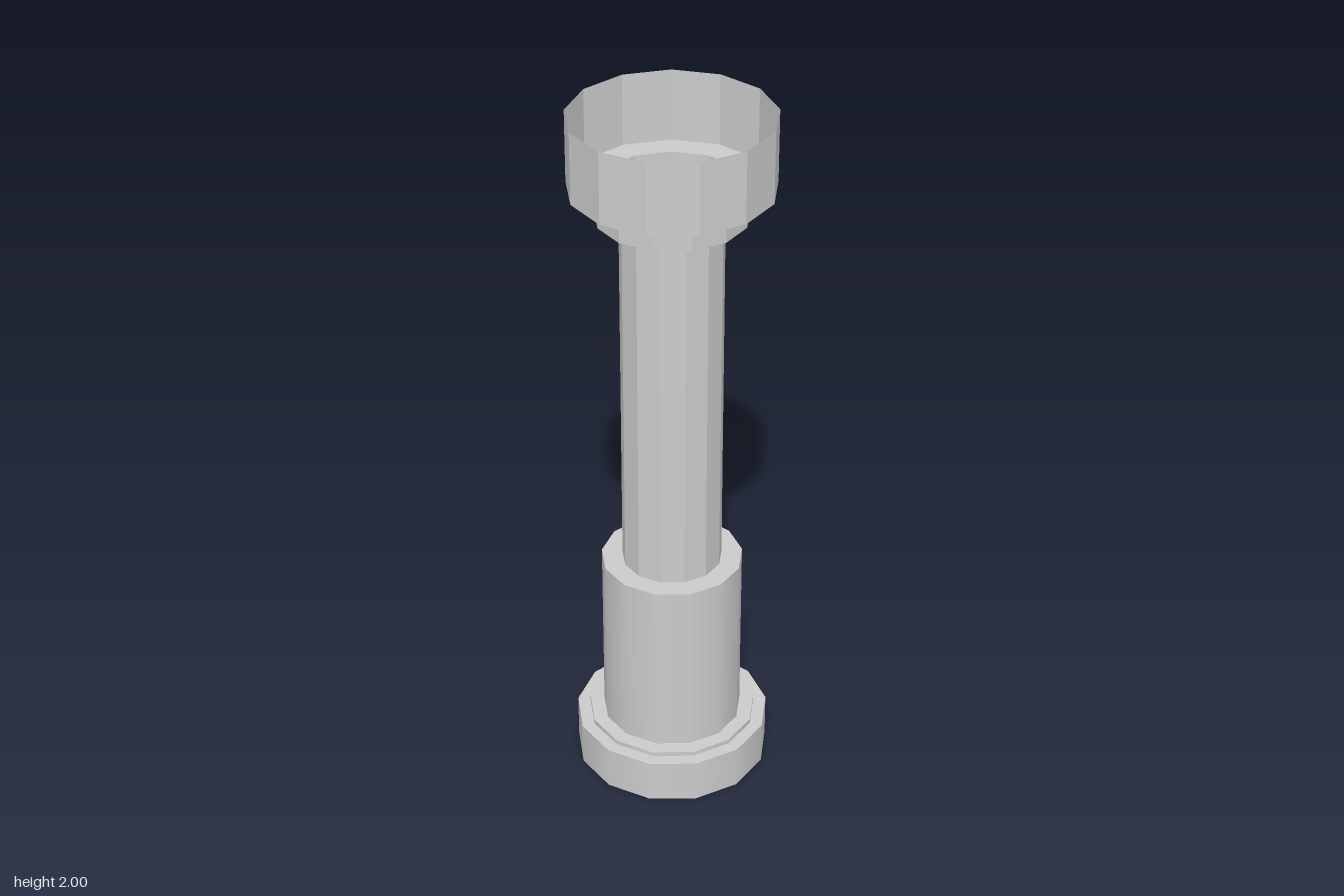
import * as THREE from 'three';

const SIDES = 13;

export function createModel() {
  const group = new THREE.Group();
  const facetedMat = new THREE.MeshStandardMaterial({ color: 0xcccccc, flatShading: true, side: THREE.DoubleSide });
  const smoothMat = new THREE.MeshStandardMaterial({ color: 0xcccccc, side: THREE.DoubleSide });

  // One open band from (r0, y0) to (r1, y1), with a corner pointing to -x
  function band(name, r0, y0, r1, y1, smooth = false) {
    const points = [new THREE.Vector2(r0, y0), new THREE.Vector2(r1, y1)];
    const geometry = new THREE.LatheGeometry(points, SIDES, -Math.PI / 2);
    const mesh = new THREE.Mesh(geometry, smooth ? smoothMat : facetedMat);
    mesh.name = name;
    mesh.position.x = 0.004; // centres the odd-sided outline
    group.add(mesh);
  }

  // Smooth base: foot ring, thin step and sleeve
  band('footWall', 0.274, 0, 0.274, 0.127, true);
  band('footLedge', 0.274, 0.127, 0.238, 0.127);
  band('stepWall', 0.238, 0.127, 0.238, 0.14, true);
  band('stepLedge', 0.238, 0.14, 0.197, 0.14);
  band('sleeveWall', 0.197, 0.14, 0.197, 0.66, true);
  band('sleeveLedge', 0.197, 0.66, 0.139, 0.66);

  // Faceted hollow shaft
  band('shaft', 0.139, 0.66, 0.139, 1.72);

  // Faceted neck and open cup
  band('neckLedge', 0.139, 1.72, 0.203, 1.72);
  band('neckWall', 0.203, 1.72, 0.203, 1.8);
  band('cupLedge', 0.203, 1.8, 0.274, 1.8);
  band('cupWall', 0.274, 1.8, 0.274, 2);

  return group;
}
